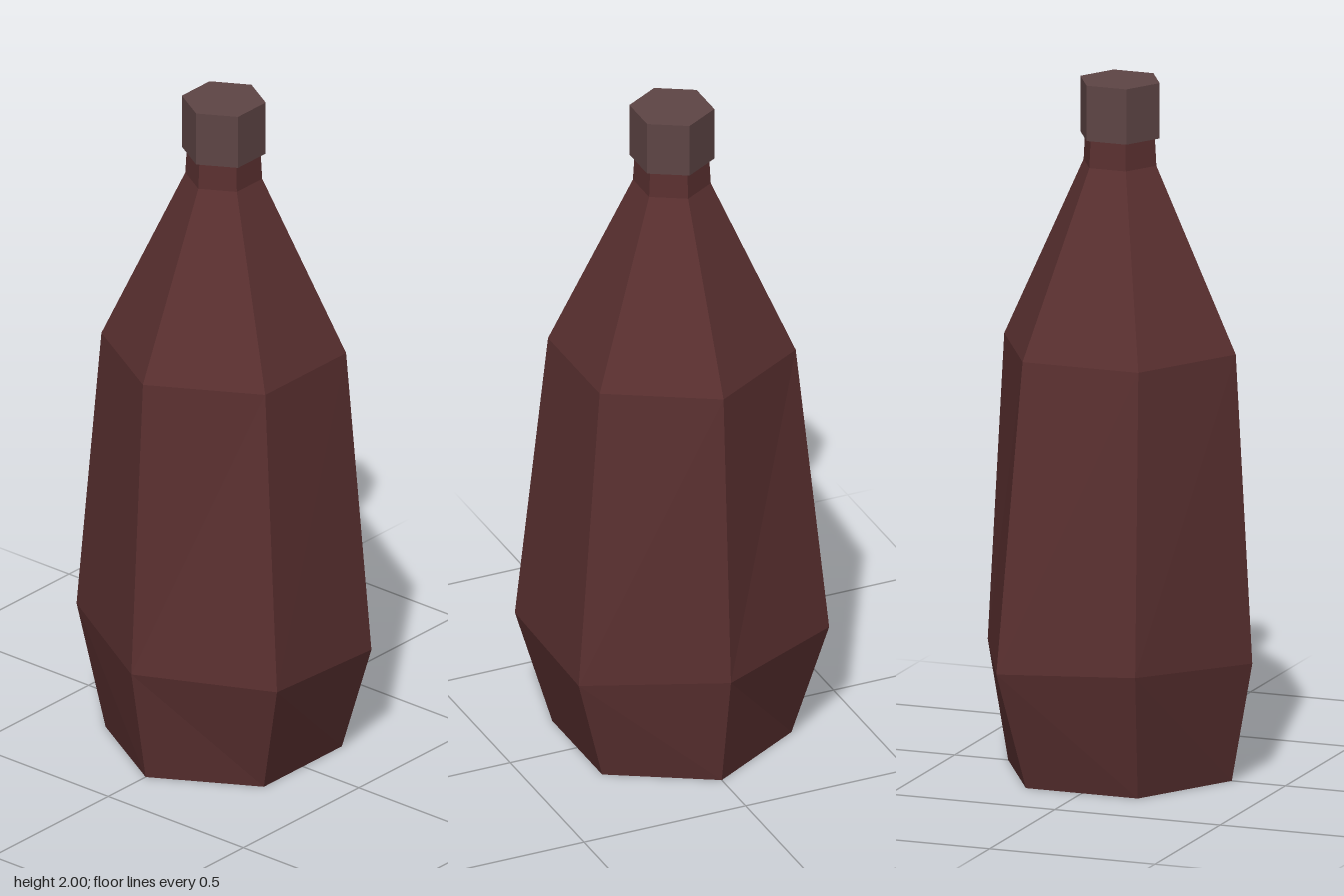
import * as THREE from 'three';

const SIDES = 6;

// Regular six-sided ring with a corner facing +z
function ring(radius, y) {
  return Array.from({ length: SIDES }, (_, i) => {
    const a = (i / SIDES) * Math.PI * 2;
    return [Math.sin(a) * radius, y, Math.cos(a) * radius];
  });
}

// Faceted shell through stacked rings; flip lists the bands with the other diagonal
function loft(rings, flip) {
  const pos = [];
  const tri = (...corners) => corners.forEach((c) => pos.push(...c));
  const last = rings.length - 1;
  for (let i = 0; i < SIDES; i++) {
    const j = (i + 1) % SIDES;
    for (let k = 0; k < last; k++) {
      const a = rings[k][i], b = rings[k][j];
      const c = rings[k + 1][j], d = rings[k + 1][i];
      if (flip.includes(k)) {
        tri(a, b, d);
        tri(b, c, d);
      } else {
        tri(a, b, c);
        tri(a, c, d);
      }
    }
    // Closed base and top
    tri([0, rings[0][0][1], 0], rings[0][j], rings[0][i]);
    tri([0, rings[last][0][1], 0], rings[last][i], rings[last][j]);
  }
  const geometry = new THREE.BufferGeometry();
  geometry.setAttribute('position', new THREE.Float32BufferAttribute(pos, 3));
  geometry.computeVertexNormals();
  return geometry;
}

export function createModel() {
  const model = new THREE.Group();
  model.name = 'bottle';

  const brownGlass = new THREE.MeshStandardMaterial({ color: 0x5a3030, flatShading: true });
  brownGlass.name = 'brownGlass';
  const capBrown = new THREE.MeshStandardMaterial({ color: 0x5e4545, flatShading: true });
  capBrown.name = 'capBrown';

  // Widest ring of the belly, slightly uneven
  const belly = [
    [0, 0.345, 0.4], [0.385, 0.345, 0.22], [0.378, 0.32, -0.197],
    [0, 0.345, -0.4], [-0.385, 0.345, -0.222], [-0.378, 0.37, 0.195],
  ];

  // Body: base, belly, shoulder, neck
  const body = new THREE.Mesh(
    loft([ring(0.338, 0), belly, ring(0.35, 1.235), ring(0.11, 1.76), ring(0.105, 1.85)], [0]),
    brownGlass
  );
  body.name = 'body';
  model.add(body);

  // Cap
  const cap = new THREE.Mesh(new THREE.CylinderGeometry(0.12, 0.12, 0.16, SIDES), capBrown);
  cap.name = 'cap';
  cap.position.y = 1.92;
  model.add(cap);

  return model;
}
